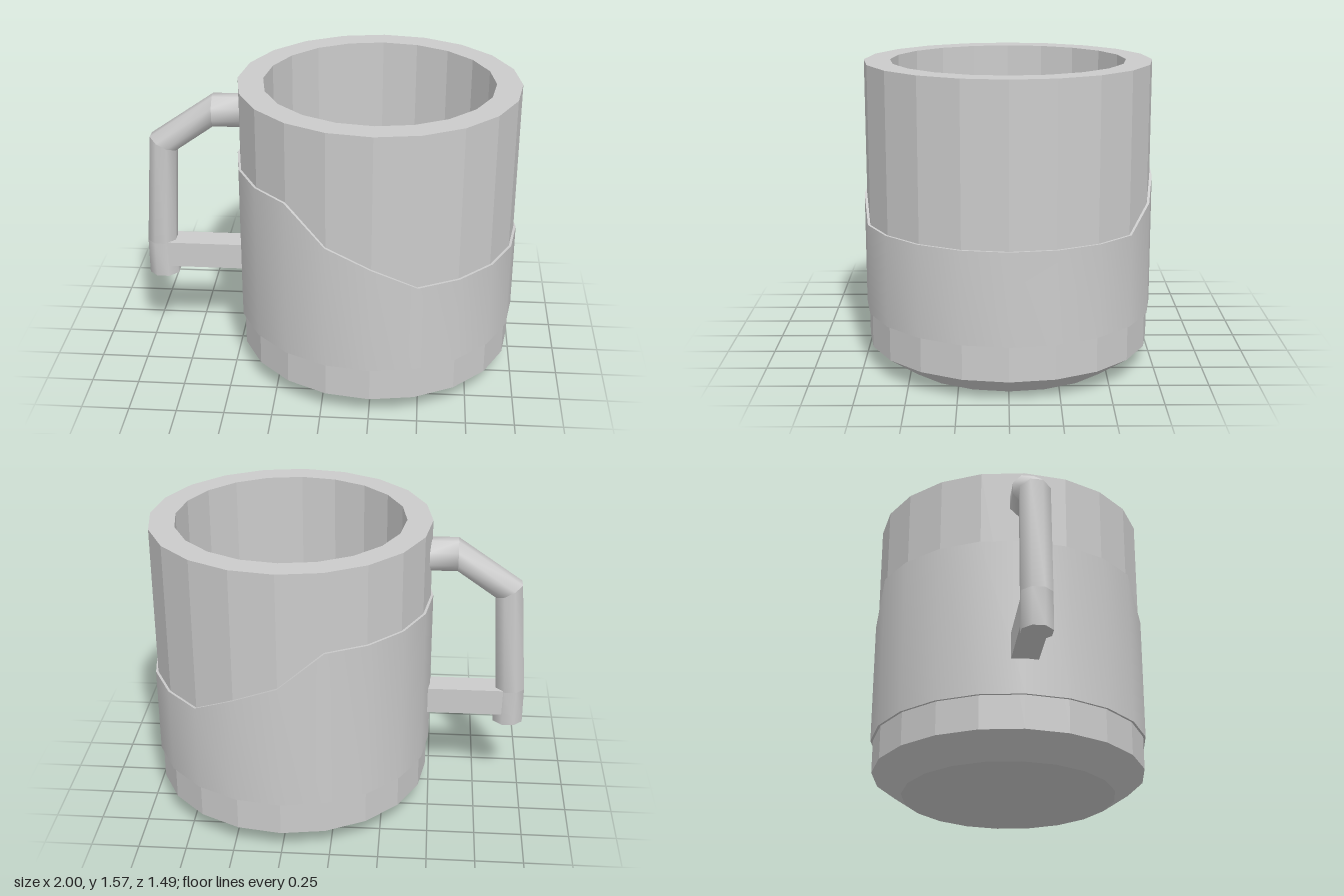
import * as THREE from 'three';
import { mergeGeometries } from 'three/addons/utils/BufferGeometryUtils.js';

const SIDES = 20;
const CX = 0.253; // axis of the mug body

const flat = () => new THREE.MeshStandardMaterial({ color: 0xcccccc, flatShading: true });
const smooth = () => new THREE.MeshStandardMaterial({ color: 0xcccccc });

function part(name, geometry, material) {
  const mesh = new THREE.Mesh(geometry, material);
  mesh.name = name;
  return mesh;
}

// Skin between two closed loops, smooth around and creased at both ends
function loft(lower, upper) {
  const n = lower.length, index = [];
  for (let i = 0; i < n; i++) {
    const j = (i + 1) % n;
    index.push(i, j, n + i, j, n + j, n + i);
  }
  const g = new THREE.BufferGeometry().setFromPoints([...lower, ...upper]);
  g.setIndex(index);
  g.computeVertexNormals();
  return g;
}

// Hollow faceted body with a bevelled foot
function makeBody() {
  const profile = [
    [0, 0], [0.573, 0], [0.733, 0.11], [0.733, 1.57], [0.6, 1.57], [0.6, 0.15], [0, 0.15],
  ].map(([r, y]) => new THREE.Vector2(r, y));
  const mesh = part('body', new THREE.LatheGeometry(profile, SIDES), flat());
  mesh.position.x = CX;
  return mesh;
}

// Sleeve around the body, taller on the handle side
function makeSleeve() {
  const low = 0.76, high = 1.15, steps = { 4: 0.87, 5: 0.965, 14: 0.965, 15: 0.87 };
  const topAt = (k) => steps[k] ?? (k > 5 && k < 14 ? high : low);
  const loop = (r, heightAt) => Array.from({ length: SIDES }, (_, k) => {
    const t = (k / SIDES) * Math.PI * 2;
    return new THREE.Vector3(CX + r * Math.cos(t), heightAt(k), -r * Math.sin(t));
  });
  const bottomAt = () => 0.29;
  const outerLow = loop(0.746, bottomAt), outerTop = loop(0.746, topAt);
  const innerLow = loop(0.73, bottomAt), innerTop = loop(0.73, topAt);
  return part('sleeve', mergeGeometries([
    loft(innerLow, outerLow), loft(outerLow, outerTop), loft(outerTop, innerTop),
  ]), smooth());
}

// Bent eight-sided grip, given by its outer and inner edge at each bend
function makeGrip() {
  const bends = [
    [-0.46, 1.47, -0.46, 1.305],
    [-0.615, 1.47, -0.615, 1.305],
    [-0.955, 1.235, -0.82, 1.16],
    [-1, 0.62, -0.848, 0.62],
    [-1, 0.42, -0.842, 0.42],
  ];
  const k = 1 / Math.cos(Math.PI / 8);
  const section = ([ox, oy, ix, iy], size = 1) => Array.from({ length: 8 }, (_, i) => {
    const t = ((i + 0.5) / 8) * Math.PI * 2, c = (Math.cos(t) * k * size) / 2;
    return new THREE.Vector3(
      (ox + ix) / 2 + (ox - ix) * c, (oy + iy) / 2 + (oy - iy) * c, 0.076 * k * size * Math.sin(t));
  });
  const pieces = bends.slice(1).map((b, i) => loft(section(b), section(bends[i])));
  const end = bends[bends.length - 1];
  pieces.push(loft(section(end, 0), section(end))); // closed lower end
  return part('grip', mergeGeometries(pieces), smooth());
}

// Square bar joining the grip to the sleeve
function makeStrut() {
  const mesh = part('lowerStrut', new THREE.BoxGeometry(0.46, 0.145, 0.14), flat());
  mesh.position.set(-0.67, 0.5525, 0);
  return mesh;
}

export function createModel() {
  const model = new THREE.Group();
  model.name = 'mug';
  const handle = new THREE.Group();
  handle.name = 'handle';
  handle.add(makeGrip(), makeStrut());
  model.add(makeBody(), makeSleeve(), handle);
  return model;
}
